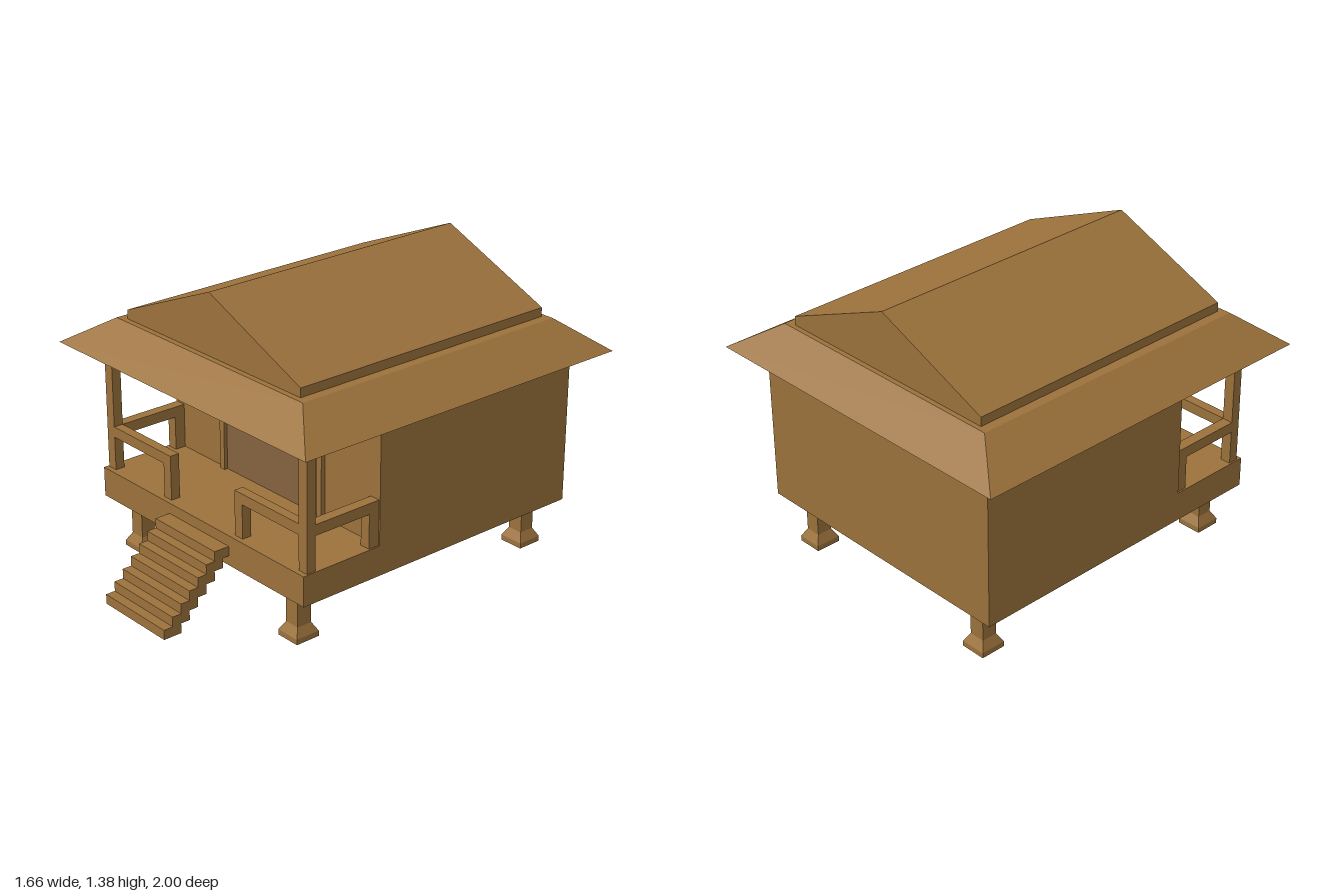
import * as THREE from 'three';

const wood = new THREE.MeshStandardMaterial({ color: 0x9c723c });
const darkWood = new THREE.MeshStandardMaterial({ color: 0x86633f });

export function createModel() {
  const model = new THREE.Group();

  const add = (name, geometry, material = wood) => {
    const mesh = new THREE.Mesh(geometry, material);
    mesh.name = name;
    model.add(mesh);
    return mesh;
  };

  // Box given by its limits on each axis
  const box = (name, [x0, x1], [y0, y1], [z0, z1], material) =>
    add(name, new THREE.BoxGeometry(x1 - x0, y1 - y0, z1 - z0), material)
      .position.set((x0 + x1) / 2, (y0 + y1) / 2, (z0 + z1) / 2);

  // Box mirrored to both sides of x = 0
  const pair = (name, [x0, x1], y, z) => {
    box(name + 'Left', [x0, x1], y, z);
    box(name + 'Right', [-x1, -x0], y, z);
  };

  // Box whose top has a different width and depth from its bottom
  const frustum = (name, bottom, top, y0, y1, x, z) => {
    const g = new THREE.BoxGeometry(1, y1 - y0, 1);
    const p = g.attributes.position;
    for (let i = 0; i < p.count; i++) {
      const [w, d] = p.getY(i) > 0 ? top : bottom;
      p.setX(i, p.getX(i) * w);
      p.setZ(i, p.getZ(i) * d);
    }
    const flat = g.toNonIndexed();
    flat.computeVertexNormals();
    add(name, flat).position.set(x, (y0 + y1) / 2, z);
  };

  // Cabin and porch floor
  box('cabin', [-0.69, 0.69], [0.23, 0.96], [-0.885, 0.235]);
  box('porchFloor', [-0.69, 0.69], [0.23, 0.37], [0.235, 0.65]);

  // Door and its frame
  box('door', [-0.315, 0.315], [0.37, 0.76], [0.23, 0.239], darkWood);
  pair('doorJamb', [0.315, 0.345], [0.37, 0.78], [0.235, 0.256]);
  box('doorLintel', [-0.315, 0.315], [0.76, 0.78], [0.235, 0.256]);

  // Porch posts and railings
  pair('porchPost', [0.632, 0.683], [0.37, 0.96], [0.58, 0.626]);
  pair('frontRail', [0.22, 0.632], [0.53, 0.58], [0.58, 0.626]);
  pair('frontRailPost', [0.22, 0.27], [0.37, 0.53], [0.58, 0.626]);
  pair('sideRail', [0.632, 0.683], [0.53, 0.58], [0.235, 0.58]);
  pair('sideRailPost', [0.632, 0.683], [0.37, 0.53], [0.235, 0.288]);

  // Stilts with flared feet
  for (const x of [-0.54, 0.54]) {
    for (const z of [0.55, -0.78]) {
      box('stilt', [x - 0.037, x + 0.037], [0.065, 0.23], [z - 0.037, z + 0.037]);
      frustum('stiltFlare', [0.12, 0.12], [0.074, 0.074], 0.025, 0.065, x, z);
      box('stiltFoot', [x - 0.06, x + 0.06], [0, 0.025], [z - 0.06, z + 0.06]);
    }
  }

  // Stairs
  const rise = 0.0457;
  for (let i = 0; i < 7; i++) {
    const front = 1 - i * rise;
    box('stairStep', [-0.206, 0.206], [i * rise, (i + 1) * rise], [Math.max(front - 0.09, 0.645), front]);
  }

  // Sloping eaves
  frustum('eaves', [1.664, 1.76], [1.245, 1.43], 0.962, 1.096, 0, -0.12);

  // Gabled upper roof
  const gable = new THREE.Shape([
    [-0.578, 1.09], [0.578, 1.09], [0.578, 1.138], [0, 1.38], [-0.578, 1.138],
  ].map(([x, y]) => new THREE.Vector2(x, y)));
  add('gableRoof', new THREE.ExtrudeGeometry(gable, { depth: 1.38, bevelEnabled: false }))
    .position.z = -0.812;

  return model;
}
